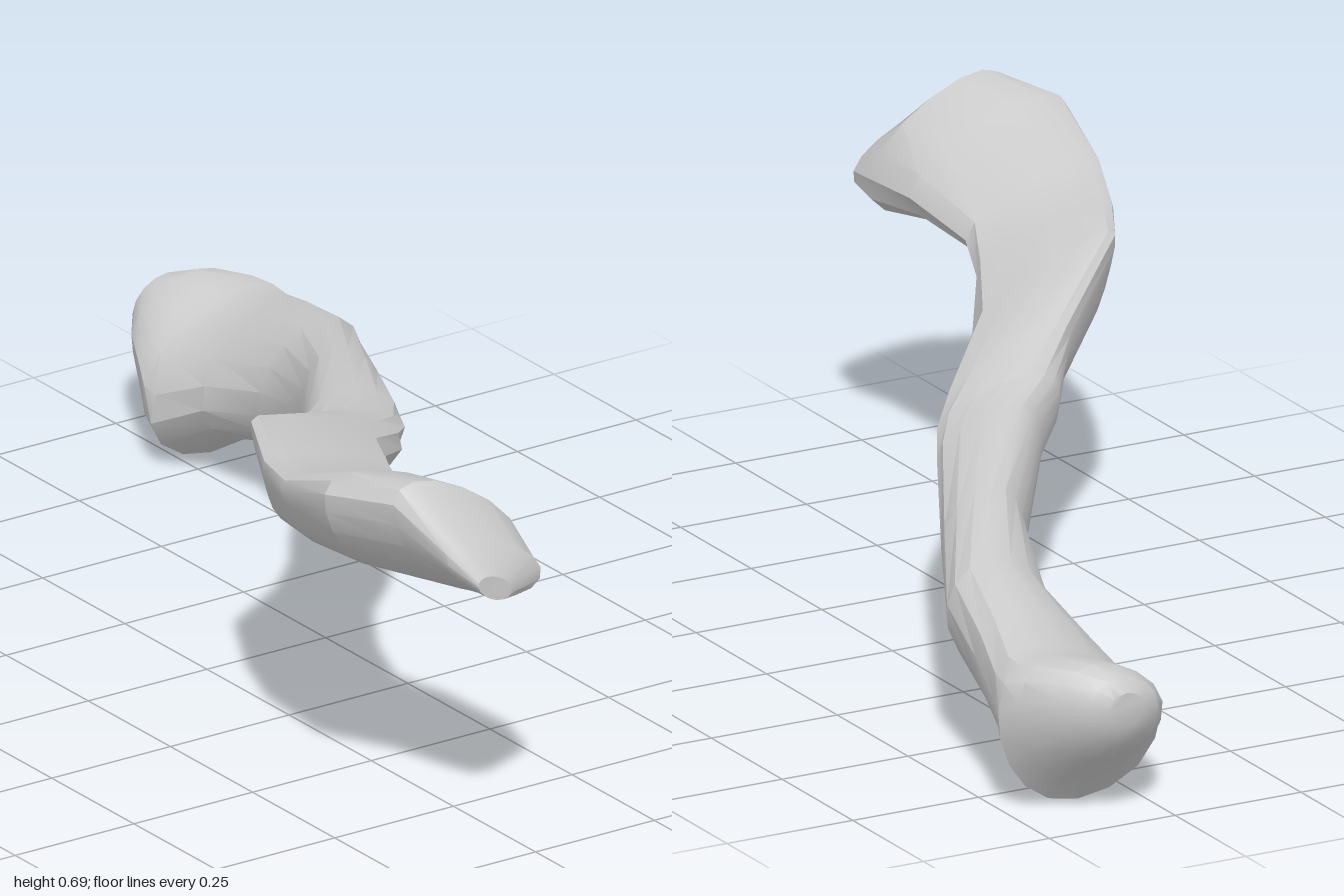
import * as THREE from 'three';
import { toCreasedNormals } from 'three/addons/utils/BufferGeometryUtils.js';

const SIDES = 16;

// Cross-sections from the flat front end to the knobbed back end:
// z, x min, x max, y min, y max, lean of the top and of the bottom towards +x
const SECTIONS = [
  [1.0, -0.37, -0.3, 0.49, 0.54, -0.5, 0.5],
  [0.96, -0.41, -0.21, 0.472, 0.6, -0.7, 0.5],
  [0.87, -0.46, -0.19, 0.456, 0.69, -0.75, 0.45],
  [0.74, -0.515, -0.2, 0.465, 0.675, -0.75, 0.2],
  [0.57, -0.485, -0.215, 0.453, 0.61, -0.95, 0.1],
  [0.43, -0.43, -0.155, 0.443, 0.585, -1.0, -0.2],
  [0.27, -0.345, -0.06, 0.385, 0.588, -1.1, 0],
  [0.12, -0.17, 0.08, 0.323, 0.495, -0.9, -0.1],
  [0.04, -0.105, 0.14, 0.307, 0.445, -0.5, -0.3],
  [-0.05, -0.02, 0.19, 0.283, 0.43, -0.3, -0.4],
  [-0.3, 0.155, 0.322, 0.193, 0.385, -0.2, -0.4],
  [-0.52, 0.22, 0.435, 0.118, 0.34, 0.2, -0.3],
  [-0.68, 0.21, 0.468, 0.07, 0.305, 0.4, -0.2],
  [-0.79, 0.178, 0.495, 0.005, 0.275, 0.55, -0.2],
  [-0.84, 0.195, 0.512, 0.0, 0.275, 0.45, 0],
  [-0.88, 0.212, 0.495, 0.05, 0.28, 0.4, 0],
  [-0.94, 0.24, 0.455, 0.1, 0.28, 0.3, 0],
  [-0.985, 0.275, 0.41, 0.145, 0.265, 0.1, 0],
  [-1.0, 0.31, 0.38, 0.18, 0.24, 0, 0],
];

// Leaning ovals joined in a loft, closed by a fan at each end
function loft(sections) {
  const pos = [], index = [];
  for (const [z, x0, x1, y0, y1, top, bottom] of sections) {
    for (let j = 0; j < SIDES; j++) {
      const t = (j / SIDES) * Math.PI * 2;
      const lean = (top - bottom) / 2 + ((top + bottom) / 2) * Math.sin(t);
      pos.push(
        (x0 + x1) / 2 + ((x1 - x0) / 2) * Math.cos(t - lean),
        (y0 + y1) / 2 + ((y1 - y0) / 2) * Math.sin(t),
        z
      );
    }
  }
  const last = sections.length - 1;
  for (let i = 0; i < last; i++) {
    for (let j = 0; j < SIDES; j++) {
      const k = (j + 1) % SIDES;
      const a = i * SIDES + j, b = i * SIDES + k;
      const c = a + SIDES, d = b + SIDES;
      index.push(a, c, b, b, c, d);
    }
  }
  for (let j = 1; j < SIDES - 1; j++) {
    const e = last * SIDES;
    index.push(0, j, j + 1, e, e + j + 1, e + j);
  }
  const geo = new THREE.BufferGeometry();
  geo.setAttribute('position', new THREE.Float32BufferAttribute(pos, 3));
  geo.setIndex(index);
  return toCreasedNormals(geo, 0.5);
}

export function createModel() {
  const group = new THREE.Group();
  group.name = 'collarbone';
  const bone = new THREE.Mesh(
    loft(SECTIONS),
    new THREE.MeshStandardMaterial({ color: 0xcccccc })
  );
  bone.name = 'boneShaft';
  group.add(bone);
  return group;
}
